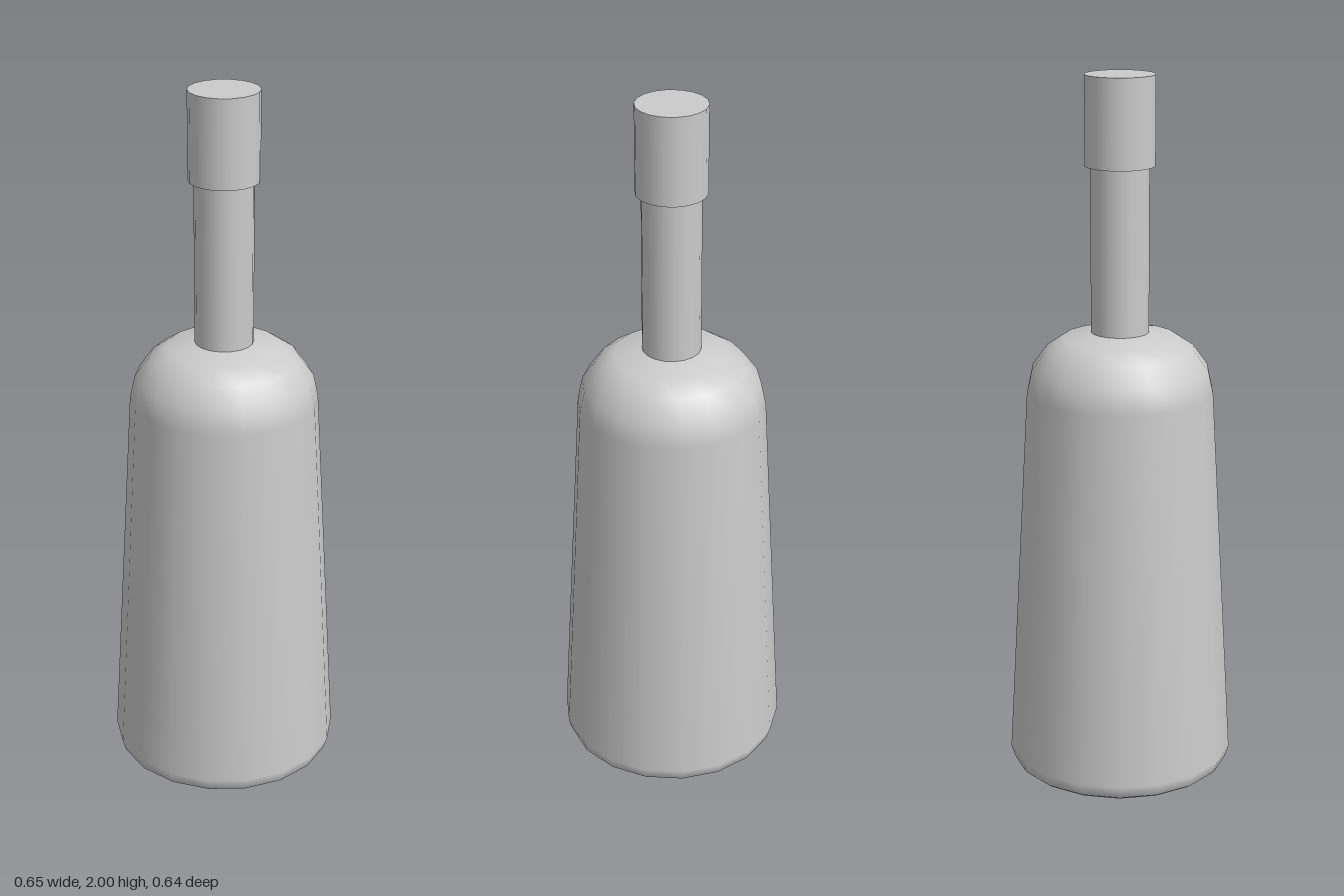
import * as THREE from 'three';

const SIDES = 18;

export function createModel() {
  const model = new THREE.Group();
  const material = new THREE.MeshStandardMaterial({ color: 0xcccccc });

  const add = (name, geometry, y = 0) => {
    const mesh = new THREE.Mesh(geometry, material);
    mesh.name = name;
    mesh.position.y = y;
    mesh.rotation.y = Math.PI / 2; // puts a corner of the polygon on the x axis
    model.add(mesh);
  };
  const lathe = (points) =>
    new THREE.LatheGeometry(points.map(([r, y]) => new THREE.Vector2(r, y)), SIDES);

  // Tapered body: recess wall, rounded foot, long side, rounded shoulder
  add('body', lathe([
    [0.27, 0.053], [0.283, 0.016], [0.3, 0], [0.314, 0.01], [0.325, 0.045],
    [0.264, 1.12], [0.25, 1.185], [0.208, 1.243], [0.16, 1.275], [0.08, 1.29],
  ]));

  // Flat floor of the recess under the foot
  add('base', lathe([[0, 0.053], [0.27, 0.053]]));

  // Straight neck, its ends sunk into the shoulder and the cap
  add('neck', new THREE.CylinderGeometry(0.082, 0.082, 0.5, SIDES, 1, true), 1.53);

  // Wider cap with flat ends
  add('cap', new THREE.CylinderGeometry(0.098, 0.098, 0.247, SIDES), 1.8765);

  return model;
}
